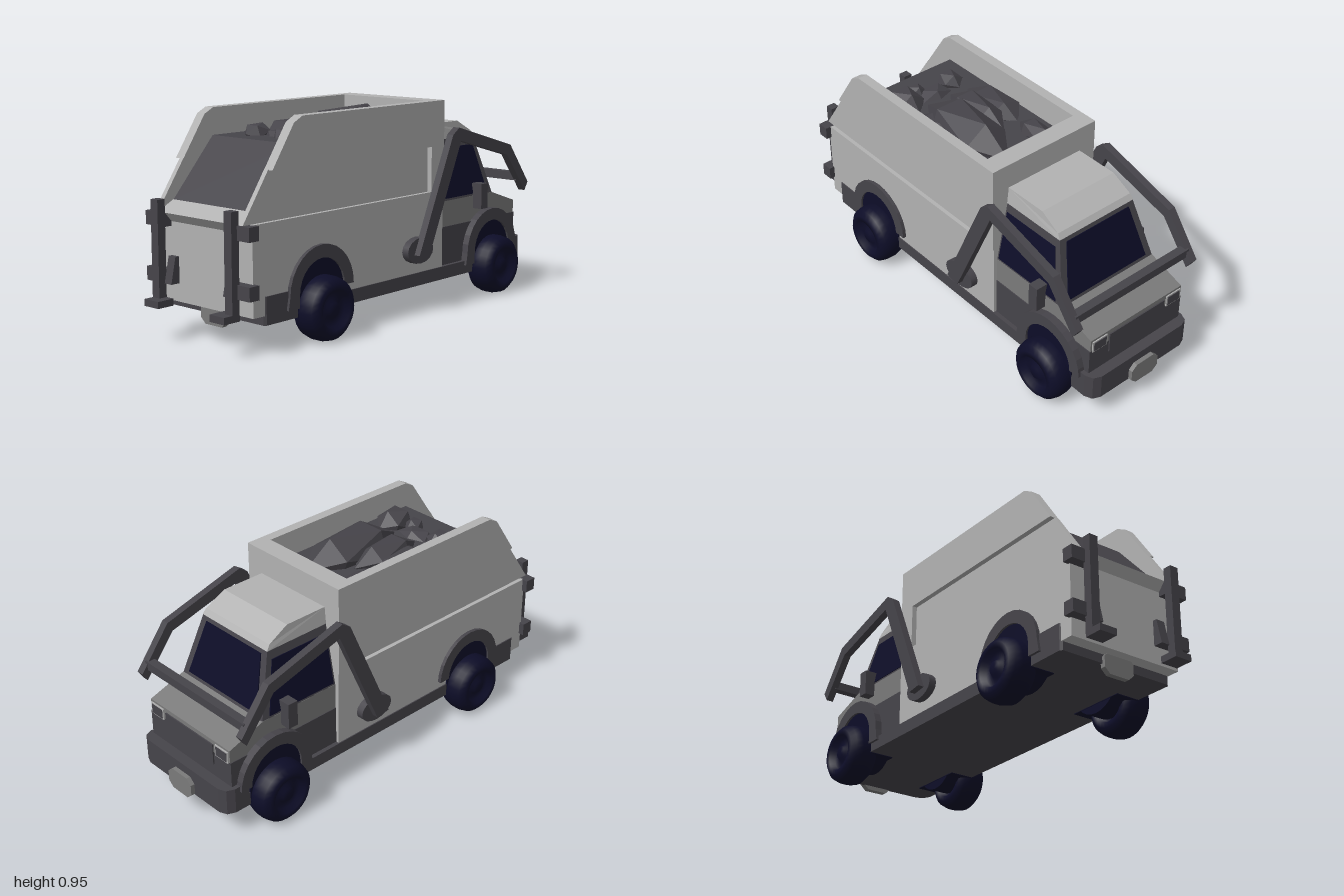
import * as THREE from 'three';

const mat = (name, color) => {
  const m = new THREE.MeshStandardMaterial({ color });
  m.name = name;
  return m;
};

export function createModel() {
  const light = mat('light grey paint', 0xb2b2b2);
  const mid = mat('mid grey', 0x7a7a7a);
  const dark = mat('dark grey', 0x46444a);
  const navy = mat('dark navy', 0x0d0d28);

  const truck = new THREE.Group();
  truck.name = 'truck';
  const add = (name, geo, material) => {
    const m = new THREE.Mesh(geo, material);
    m.name = name;
    truck.add(m);
    return m;
  };
  // box given by its limits
  const box = (name, material, x0, x1, y0, y1, z0, z1) =>
    add(name, new THREE.BoxGeometry(x1 - x0, y1 - y0, z1 - z0)
      .translate((x0 + x1) / 2, (y0 + y1) / 2, (z0 + z1) / 2), material);
  const outline = (pts) => new THREE.Shape(pts.map(([a, b]) => new THREE.Vector2(a, b)));
  // side profile of [z, y] points, extruded from x0 to x1
  const sideGeo = (pts, x0, x1) =>
    new THREE.ExtrudeGeometry(outline(pts), { depth: x1 - x0, bevelEnabled: false })
      .rotateY(-Math.PI / 2).translate(x1, 0, 0);
  const profile = (name, material, pts, x0, x1) => add(name, sideGeo(pts, x0, x1), material);
  // side profile whose half width follows the height
  const tapered = (name, material, pts, halfWidth) => {
    const g = sideGeo(pts, -1, 1);
    const p = g.attributes.position;
    for (let i = 0; i < p.count; i++) p.setX(i, Math.sign(p.getX(i)) * halfWidth(p.getY(i)));
    g.computeVertexNormals();
    return add(name, g, material);
  };
  // the same part on both sides: fn receives a function ordering mirrored x limits
  const bothSides = (fn) => {
    fn('left', (a, b) => [a, b], 1);
    fn('right', (a, b) => [-b, -a], -1);
  };

  // chassis with rounded bumper corners
  const slab = (name, z0, z1, y0, y1, rFront, rBack) => {
    const w = 0.29;
    const pts = [[-w, z0 + rFront], [-w + rFront * 0.3, z0 + rFront * 0.3], [-w + rFront, z0],
      [w - rFront, z0], [w - rFront * 0.3, z0 + rFront * 0.3], [w, z0 + rFront],
      [w, z1 - rBack], [w - rBack, z1], [-w + rBack, z1], [-w, z1 - rBack]];
    const g = new THREE.ExtrudeGeometry(outline(pts), { depth: y1 - y0, bevelEnabled: false });
    add(name, g.rotateX(Math.PI / 2).translate(0, y1, 0), dark);
  };
  slab('chassis', -0.9, 0.7, 0.12, 0.18, 0.01, 0.01);
  slab('cabBumper', -0.98, -0.85, 0.12, 0.24, 0.05, 0.005);
  slab('rearBumper', 0.55, 0.82, 0.12, 0.24, 0.005, 0.01);

  // octagonal plates at both ends
  const plate = (name, y, z0, z1) => {
    const g = new THREE.ExtrudeGeometry(outline([[-0.077, -0.025], [-0.05, -0.05], [0.05, -0.05],
      [0.077, -0.025], [0.077, 0.025], [0.05, 0.05], [-0.05, 0.05], [-0.077, 0.025]]),
    { depth: z1 - z0, bevelEnabled: false });
    add(name, g.translate(0, y, z0), mid);
  };
  plate('cabPlate', 0.15, -1, -0.97);
  plate('rearPlate', 0.125, 0.81, 0.835);

  // lower body and hopper
  box('lowerBody', light, -0.285, 0.285, 0.16, 0.54, -0.34, 0.88);
  profile('tailgateLip', light, [[0.88, 0.5], [0.915, 0.54], [0.83, 0.582], [0.8, 0.5]], -0.265, 0.265);
  box('hopperFrontWall', light, -0.29, 0.29, 0.54, 0.955, -0.34, -0.25);
  bothSides((side, m) => {
    profile(side + 'LowerHopperWall', light,
      [[0.915, 0.54], [0.77, 0.75], [-0.34, 0.75], [-0.34, 0.54]], ...m(0.243, 0.266));
    profile(side + 'UpperHopperWall', light,
      [[0.77, 0.748], [0.645, 0.93], [0.595, 0.955], [-0.34, 0.955], [-0.34, 0.748]], ...m(0.243, 0.29));
  });

  // load with rocks on top: x, y, z, then radii
  profile('load', dark, [[0.83, 0.54], [0.83, 0.58], [0.6, 0.835], [-0.25, 0.835], [-0.25, 0.54]], -0.243, 0.243);
  const rocks = [
    [0.08, 0.84, 0.08, 0.12, 0.12, 0.28], [-0.05, 0.84, 0.17, 0.08, 0.08, 0.19],
    [-0.15, 0.83, 0.18, 0.1, 0.06, 0.18], [-0.15, 0.84, -0.12, 0.055, 0.05, 0.11],
    [0.15, 0.84, 0.43, 0.075, 0.08, 0.1], [-0.12, 0.84, 0.45, 0.055, 0.05, 0.07],
    [0.06, 0.835, 0.47, 0.045, 0.05, 0.05], [0.16, 0.83, 0.2, 0.07, 0.06, 0.13],
    [0, 0.82, 0.42, 0.09, 0.05, 0.07],
  ];
  rocks.forEach(([x, y, z, a, b, c], i) => {
    const r = add('rock' + (i + 1), new THREE.IcosahedronGeometry(1, 0).rotateX(0.55), dark);
    r.position.set(x, y, z);
    r.scale.set(a * 1.08, b, c);
  });

  // cab
  const cabHalf = (y) => 0.265 - Math.max(0, Math.min(y, 0.8) - 0.48) * 0.2;
  profile('cabBase', dark, [[-0.34, 0.15], [-0.34, 0.36], [-0.93, 0.36], [-0.93, 0.15]], -0.27, 0.27);
  profile('hoodAndDoors', mid,
    [[-0.34, 0.36], [-0.34, 0.48], [-0.75, 0.48], [-0.93, 0.42], [-0.93, 0.36]], -0.266, 0.266);
  tapered('cabFrame', dark, [[-0.34, 0.48], [-0.75, 0.48], [-0.665, 0.76], [-0.34, 0.76]], cabHalf);
  tapered('roof', light,
    [[-0.34, 0.76], [-0.667, 0.76], [-0.65, 0.785], [-0.55, 0.838], [-0.34, 0.838]], (y) => cabHalf(y) + 0.002);
  tapered('sideWindows', navy,
    [[-0.35, 0.49], [-0.71, 0.49], [-0.65, 0.72], [-0.35, 0.72]], (y) => cabHalf(y) + 0.004);
  const glass = (t, o) => [-0.75 + 0.085 * t - 0.957 * o, 0.48 + 0.28 * t + 0.29 * o];
  tapered('windscreen', navy,
    [glass(0.06, 0), glass(0.06, 0.005), glass(0.93, 0.005), glass(0.93, 0)], (y) => cabHalf(y) - 0.035);
  box('grille', dark, -0.16, 0.16, 0.3, 0.4, -0.936, -0.928);
  bothSides((side, m) => {
    box(side + 'HeadlightFrame', light, ...m(0.175, 0.258), 0.355, 0.41, -0.935, -0.928);
    box(side + 'Headlight', dark, ...m(0.182, 0.251), 0.361, 0.404, -0.938, -0.93);
    box(side + 'Mirror', dark, ...m(0.25, 0.315), 0.42, 0.54, -0.65, -0.6);
  });

  // lifting arms, pivots and fork bar
  const arm = [[-0.095, 0.275], [-0.33, 0.8], [-0.375, 0.83], [-0.78, 0.715], [-0.93, 0.52],
    [-0.905, 0.48], [-0.755, 0.668], [-0.39, 0.768], [-0.165, 0.265]];
  bothSides((side, m, s) => {
    profile(side + 'LiftArm', dark, arm, ...m(0.315, 0.35));
    const pivot = add(side + 'ArmPivot', new THREE.CylinderGeometry(1, 1, 0.05, 16).rotateZ(Math.PI / 2), dark);
    pivot.scale.set(1, 0.06, 0.09);
    pivot.position.set(s * 0.295, 0.29, -0.14);
  });
  box('forkBar', dark, -0.33, 0.33, 0.53, 0.57, -0.9, -0.86);

  // rear posts with clamps, gussets and feet
  bothSides((side, m) => {
    box(side + 'Post', dark, ...m(0.2, 0.243), 0.15, 0.598, 0.915, 0.955);
    box(side + 'PostFoot', dark, ...m(0.157, 0.243), 0.15, 0.18, 0.915, 1);
    for (const y of [0.24, 0.48])
      box(side + 'Clamp', dark, ...m(0.2, 0.312), y, y + 0.06, 0.87, 0.925);
    profile(side + 'Gusset', dark, [[0.88, 0.24], [0.925, 0.24], [0.9, 0.355], [0.88, 0.355]], ...m(0.157, 0.2));
  });

  // wheels, wells and arches
  const tyre = [[0, -0.06], [0.03, -0.06], [0.04, -0.045], [0.075, -0.045], [0.085, -0.07],
    [0.11, -0.07], [0.132, -0.05], [0.14, -0.018], [0.14, 0.018], [0.132, 0.05],
    [0.11, 0.07], [0.085, 0.07], [0.075, 0.045], [0.04, 0.045], [0.03, 0.06], [0, 0.06]]
    .map(([r, h]) => new THREE.Vector2(r, h));
  for (const [end, z] of [['rear', 0.49], ['cab', -0.71]]) {
    const arch = [];
    for (const [r, dir] of [[0.195, 1], [0.138, -1]])
      for (let i = 0; i <= 14; i++) {
        const a = Math.PI * (dir > 0 ? i / 14 : 1 - i / 14);
        arch.push([z + r * Math.cos(a), 0.215 + r * Math.sin(a)]);
      }
    arch.push([z + 0.138, 0.16], [z + 0.205, 0.16]);
    bothSides((side, m, s) => {
      const wheel = add(`${end}${side}Wheel`, new THREE.LatheGeometry(tyre, 28).rotateZ(Math.PI / 2), navy);
      wheel.position.set(s * 0.31, 0.14, z);
      const well = add(`${end}${side}WheelWell`,
        new THREE.CylinderGeometry(0.14, 0.14, 0.12, 28).rotateZ(Math.PI / 2), navy);
      well.position.set(s * 0.232, 0.217, z);
      box(`${end}${side}WellOpening`, navy, ...m(0.17, 0.292), 0.117, 0.2, z - 0.14, z + 0.14);
      profile(`${end}${side}Arch`, dark, arch, ...m(0.25, 0.302));
    });
  }
  return truck;
}
